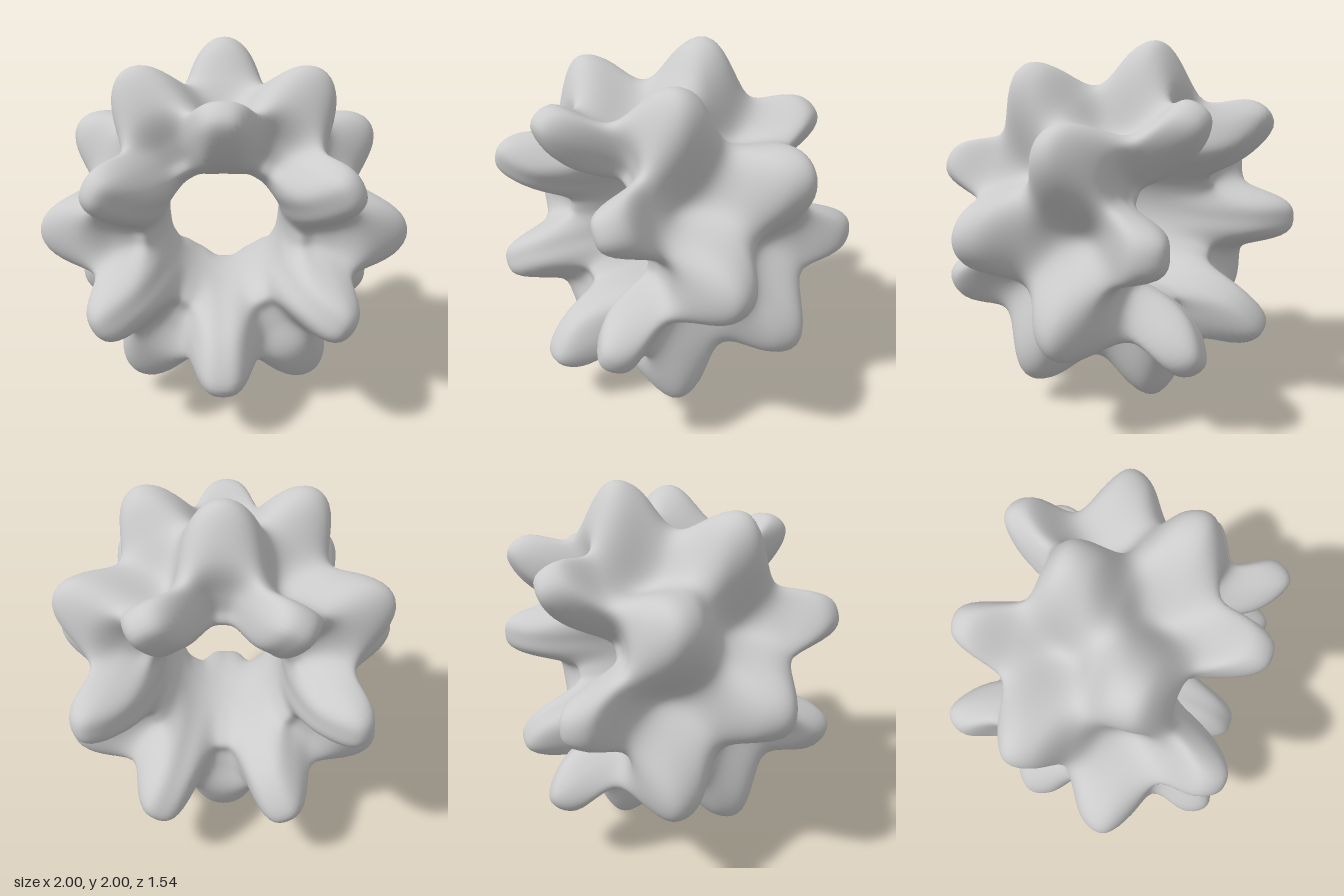
import * as THREE from 'three';

// Cross-section (radius, z) of the ring through a front lobe: going from the
// outer equator over the front lobe, down the hole wall and out to the rear tip.
const SECTION = [
  [0.79, 0], [0.64, 0.12], [0.59, 0.26], [0.66, 0.44],
  [0.765, 0.65], [0.67, 0.77], [0.47, 0.64], [0.35, 0.36],
  [0.325, 0], [0.345, -0.25], [0.4, -0.38], [0.48, -0.375],
  [0.58, -0.385], [0.77, -0.405], [0.985, -0.29], [0.965, -0.14],
];
const LOBES = 6, AROUND = 192, TUBE = 96;

export function createModel() {
  const curve = new THREE.CatmullRomCurve3(
    SECTION.map(([r, z]) => new THREE.Vector3(r, z, 0)), true, 'catmullrom', 0.5);
  const profile = [];
  for (let j = 0; j < TUBE; j++) profile.push(curve.getPoint(j / TUBE));

  const positions = [], indices = [];
  for (let i = 0; i < AROUND; i++) {
    const u = (i / AROUND) * Math.PI * 2;
    const c = -Math.cos(LOBES * u);
    for (let j = 0; j < TUBE; j++) {
      const a = profile[j], b = profile[(TUBE - j) % TUBE];
      // weight swings between the section and its front-to-back mirror image,
      // with fuller, steeper lobes towards the hole
      const fullness = 0.3 * (1 - Math.cos((j / TUBE) * Math.PI * 2));
      const w = (1 + c + fullness * (c - c ** 3)) / 2;
      const r = Math.max(0.325, a.x * w + b.x * (1 - w));
      const z = a.y * w - b.y * (1 - w);
      positions.push(r * Math.cos(u), 1 + r * Math.sin(u), z);

      const i2 = (i + 1) % AROUND, j2 = (j + 1) % TUBE;
      const p = i * TUBE + j, q = i2 * TUBE + j, s = i2 * TUBE + j2, t = i * TUBE + j2;
      indices.push(p, q, t, q, s, t);
    }
  }
  const geometry = new THREE.BufferGeometry();
  geometry.setAttribute('position', new THREE.Float32BufferAttribute(positions, 3));
  geometry.setIndex(indices);
  geometry.computeVertexNormals();

  const ring = new THREE.Mesh(geometry, new THREE.MeshStandardMaterial({ color: 0xcccccc }));
  ring.name = 'lobedRing';
  const group = new THREE.Group();
  group.name = 'lobedTorus';
  group.add(ring);
  return group;
}
